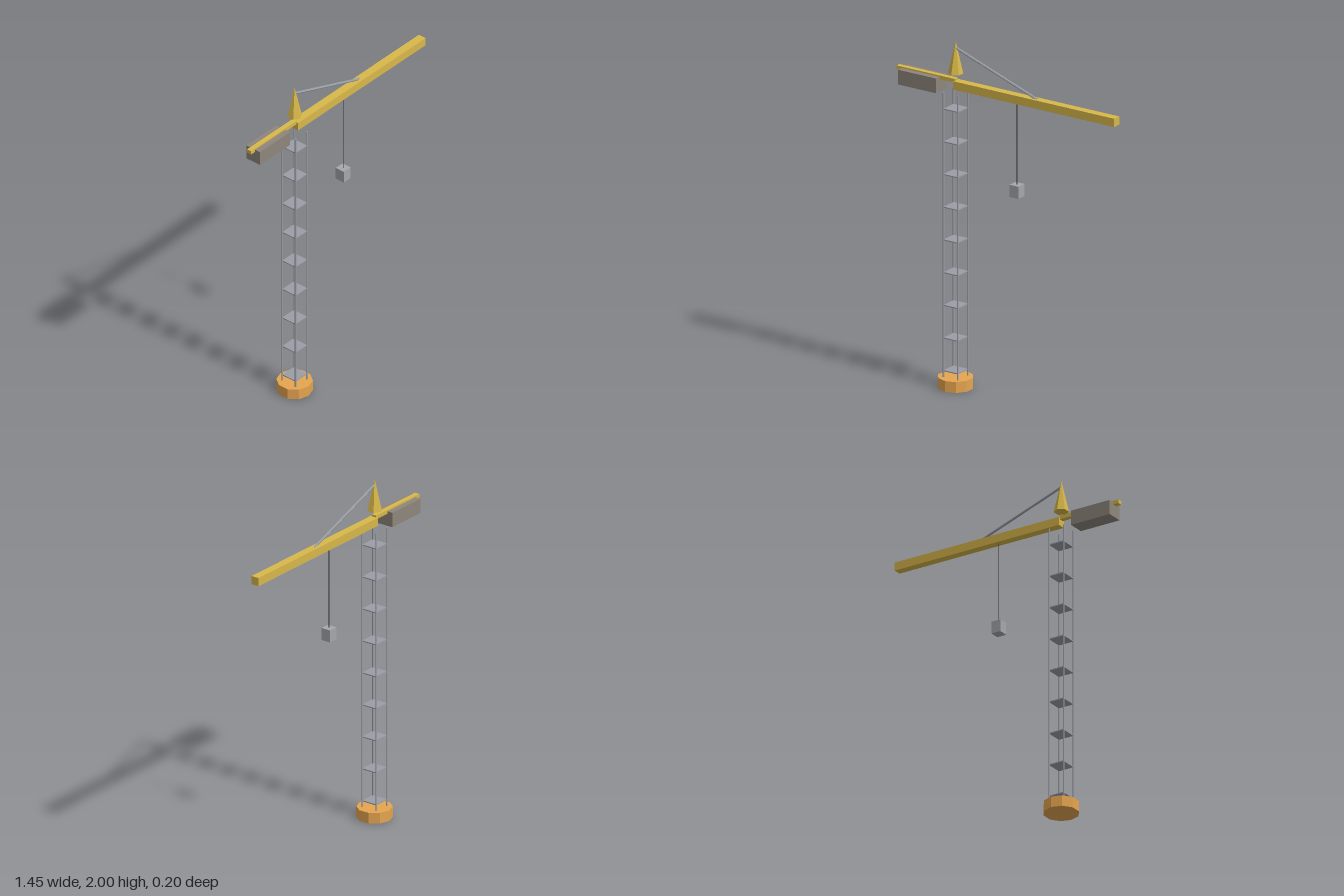
import * as THREE from 'three';

const material = (color) => new THREE.MeshStandardMaterial({ color, flatShading: true });

export function createModel() {
  const crane = new THREE.Group();
  crane.name = 'towerCrane';
  const yellow = material(0xd8b84a);
  const orange = material(0xe6a550);
  const steel = material(0x9a9ea6);
  const loadGrey = material(0xa6a6ae);
  const concrete = material(0x8e867c);
  const dark = material(0x333333);
  const mastX = -0.345;

  const add = (name, geometry, mat, x, y, z = 0, parent = crane) => {
    const mesh = new THREE.Mesh(geometry, mat);
    mesh.name = name;
    mesh.position.set(x, y, z);
    parent.add(mesh);
    return mesh;
  };
  // Box given by its x and y extents, centred on z = 0
  const addBox = (name, mat, x0, x1, y0, y1, depth) =>
    add(name, new THREE.BoxGeometry(x1 - x0, y1 - y0, depth), mat, (x0 + x1) / 2, (y0 + y1) / 2);

  // Foundation
  add('base', new THREE.CylinderGeometry(0.1, 0.1, 0.063, 10), orange, mastX, 0.0315);

  // Mast: four legs joined by evenly spaced plates
  const mast = new THREE.Group();
  mast.name = 'mast';
  mast.position.x = mastX;
  crane.add(mast);
  const legGeometry = new THREE.CylinderGeometry(0.005, 0.005, 1.655, 6);
  for (const sx of [-1, 1]) {
    for (const sz of [-1, 1]) {
      add('mastLeg', legGeometry, steel, sx * 0.0475, 0.8775, sz * 0.0475, mast);
    }
  }
  const plateGeometry = new THREE.BoxGeometry(0.095, 0.006, 0.095);
  for (let i = 0; i < 9; i++) {
    add('mastPlate', plateGeometry, steel, 0, 0.098 + i * 0.189, 0, mast);
  }

  // Working arm, rear arm and counterweight
  addBox('jib', yellow, -0.345, 0.727, 1.726, 1.774, 0.048);
  addBox('counterJib', yellow, -0.727, -0.34, 1.763, 1.785, 0.029);
  addBox('counterweight', concrete, -0.693, -0.44, 1.692, 1.777, 0.098);

  // Tower peak
  add('peak', new THREE.ConeGeometry(0.042, 0.187, 6), yellow, mastX, 1.9065);

  // Stay bar from the peak down to the jib
  const top = new THREE.Vector3(-0.342, 1.961, 0);
  const end = new THREE.Vector3(0.197, 1.771, 0);
  const direction = end.clone().sub(top);
  const stay = add('stayBar', new THREE.CylinderGeometry(0.007, 0.007, direction.length(), 6), steel,
    (top.x + end.x) / 2, (top.y + end.y) / 2);
  stay.quaternion.setFromUnitVectors(new THREE.Vector3(0, 1, 0), direction.normalize());

  // Hoist cable and hanging load
  add('cable', new THREE.CylinderGeometry(0.002, 0.002, 0.49, 6), dark, 0.063, 1.49);
  addBox('load', loadGrey, 0.034, 0.092, 1.183, 1.254, 0.058);

  return crane;
}
